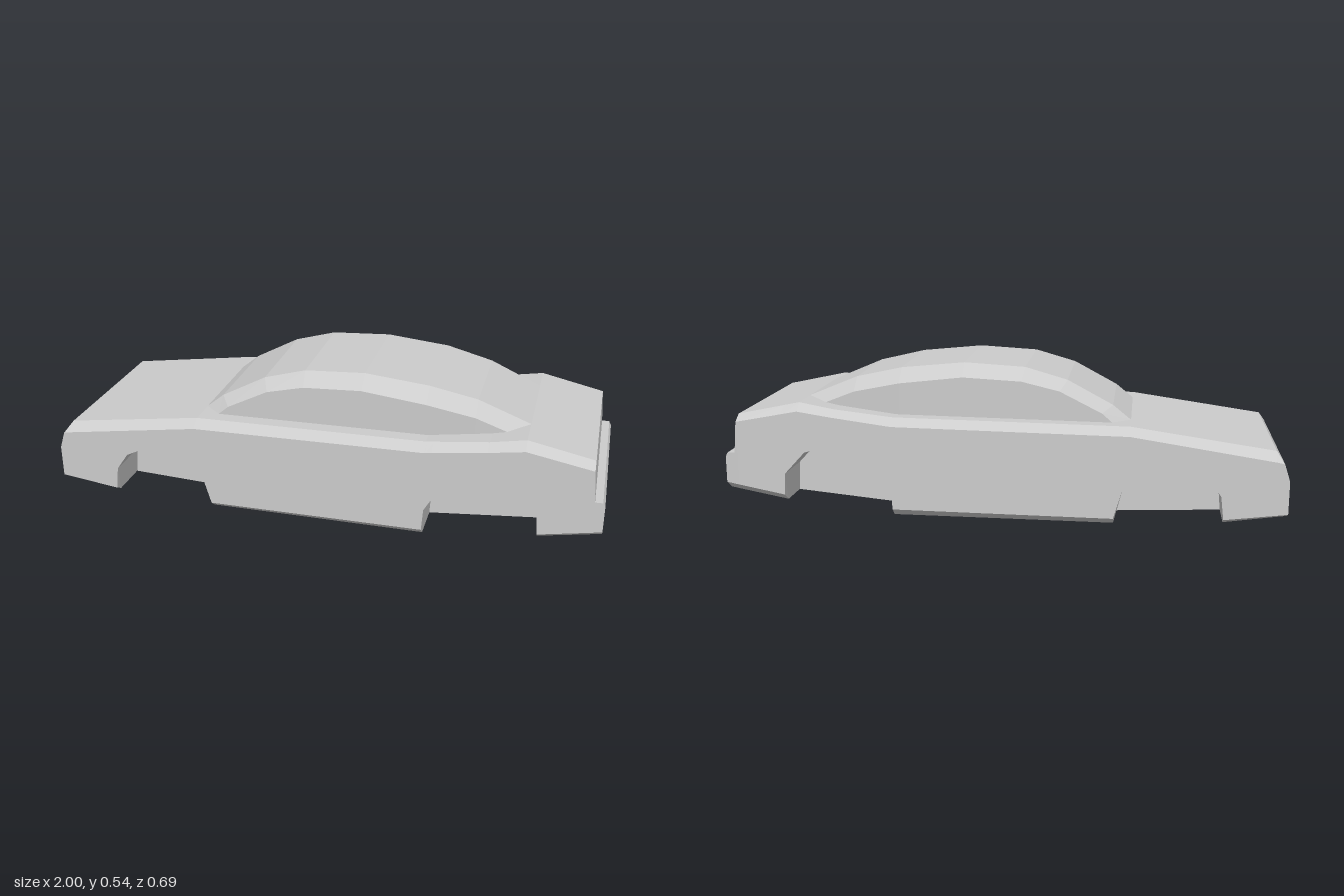
import * as THREE from 'three';

const material = new THREE.MeshStandardMaterial({ color: 0xcccccc, flatShading: true });

// Piecewise linear curve through [x, value] pairs
function along(points) {
  return (x) => {
    for (let i = 1; i < points.length; i++) {
      const [x0, v0] = points[i - 1], [x1, v1] = points[i];
      if (x <= x1) return v0 + (v1 - v0) * Math.max(0, (x - x0) / (x1 - x0));
    }
    return points[points.length - 1][1];
  };
}

// Skin half sections (listed bottom to top on the +z side), mirrored across z = 0
function mirroredLoft(name, halves) {
  const rings = halves.map((h) => [...h, ...h.map(([x, y, z]) => [x, y, -z]).reverse()]);
  const n = rings[0].length, pos = [];
  const tri = (a, b, c) => pos.push(...a, ...b, ...c);
  for (let i = 0; i + 1 < rings.length; i++) {
    for (let j = 0; j < n; j++) {
      const k = (j + 1) % n, r = rings[i], s = rings[i + 1];
      tri(r[j], s[j], s[k]);
      tri(r[j], s[k], r[k]);
    }
  }
  const first = rings[0], last = rings[rings.length - 1];
  for (let j = 1; j < n - 1; j++) {
    tri(first[0], first[j], first[j + 1]);
    tri(last[0], last[j + 1], last[j]);
  }
  const geometry = new THREE.BufferGeometry();
  geometry.setAttribute('position', new THREE.Float32BufferAttribute(pos, 3));
  geometry.computeVertexNormals();
  const mesh = new THREE.Mesh(geometry, material);
  mesh.name = name;
  return mesh;
}

// Lower body: hood, sides, trunk, bumpers and the four wheel wells
function createBody() {
  const top = along([[-1, 0.18], [-0.98, 0.241], [-0.955, 0.278], [-0.457, 0.348],
    [0.38, 0.357], [0.6, 0.38], [0.725, 0.402], [0.955, 0.353], [0.965, 0.215], [0.992, 0.215], [1, 0.2]]);
  const shoulder = along([[-1, 0.18], [-0.98, 0.241], [-0.955, 0.246], [-0.457, 0.32],
    [0.38, 0.33], [0.6, 0.357], [0.725, 0.375], [0.955, 0.33], [0.965, 0.215], [0.992, 0.215], [1, 0.2]]);
  const bottom = along([[-1, 0.05], [-0.783, 0.018], [-0.404, 0], [0.382, 0], [0.783, 0.037], [1, 0.075]]);
  const width = along([[-1, 0.345], [0.41, 0.345], [0.955, 0.335], [1, 0.333]]);
  const inset = along([[-1, 0], [-0.98, 0], [-0.955, 0.036], [0.955, 0.036], [0.965, 0], [1, 0]]);
  const sillWidth = along([[-1, 0.03], [0.382, 0.03], [0.783, 0.04], [1, 0.04]]);
  const sillHeight = along([[-1, 0.013], [-0.404, 0.024], [1, 0.029]]);

  // Wheel arch outlines
  const arches = [
    [[-0.783, 0.018], [-0.773, 0.118], [-0.73, 0.18], [-0.596, 0.246], [-0.463, 0.198], [-0.436, 0.134], [-0.404, 0]],
    [[0.382, 0], [0.388, 0.107], [0.441, 0.198], [0.575, 0.267], [0.703, 0.225], [0.778, 0.144], [0.783, 0.037]],
  ];
  const stations = [-1, -0.98, -0.955, -0.457, 0.41, 0.6, 0.725, 0.955, 0.965, 0.992, 1,
    ...arches.flat().map(([x]) => x)].sort((a, b) => a - b);
  const wellDepth = 0.17;

  return mirroredLoft('body', stations.map((x) => {
    const arch = arches.find((a) => x > a[0][0] && x < a[a.length - 1][0]);
    const b = bottom(x), w = width(x);
    const a = arch ? along(arch)(x) : b;
    const sw = arch ? 0 : sillWidth(x), sh = arch ? 0 : sillHeight(x);
    return [[x, b, wellDepth], [x, a, wellDepth], [x, a, w - sw], [x, a + sh, w],
      [x, shoulder(x), w], [x, top(x), w - inset(x)]];
  }));
}

// Cabin: arched roof, sloped roof rails and upright side windows
function createCabin() {
  const roof = [[-0.457, 0.348], [-0.393, 0.4], [-0.23, 0.487], [-0.078, 0.53],
    [0.14, 0.542], [0.37, 0.519], [0.54, 0.48], [0.73, 0.4]];
  const windowTop = [[-0.393, 0.348], [-0.356, 0.38], [-0.206, 0.455], [-0.07, 0.487],
    [0.14, 0.497], [0.37, 0.47], [0.54, 0.433], [0.68, 0.376]];
  const roofWidth = along([[-0.457, 0.2], [0.37, 0.2], [0.73, 0.172]]);
  const windowWidth = along([[-0.393, 0.257], [0.4, 0.257], [0.68, 0.225]]);
  return mirroredLoft('cabin', roof.map(([x, y], i) => {
    const [wx, wy] = windowTop[i], wz = windowWidth(wx);
    return [[wx, 0.31, wz], [wx, wy, wz], [x, y, roofWidth(x)]];
  }));
}

export function createModel() {
  const car = new THREE.Group();
  car.name = 'car';
  car.add(createBody(), createCabin());
  return car;
}
